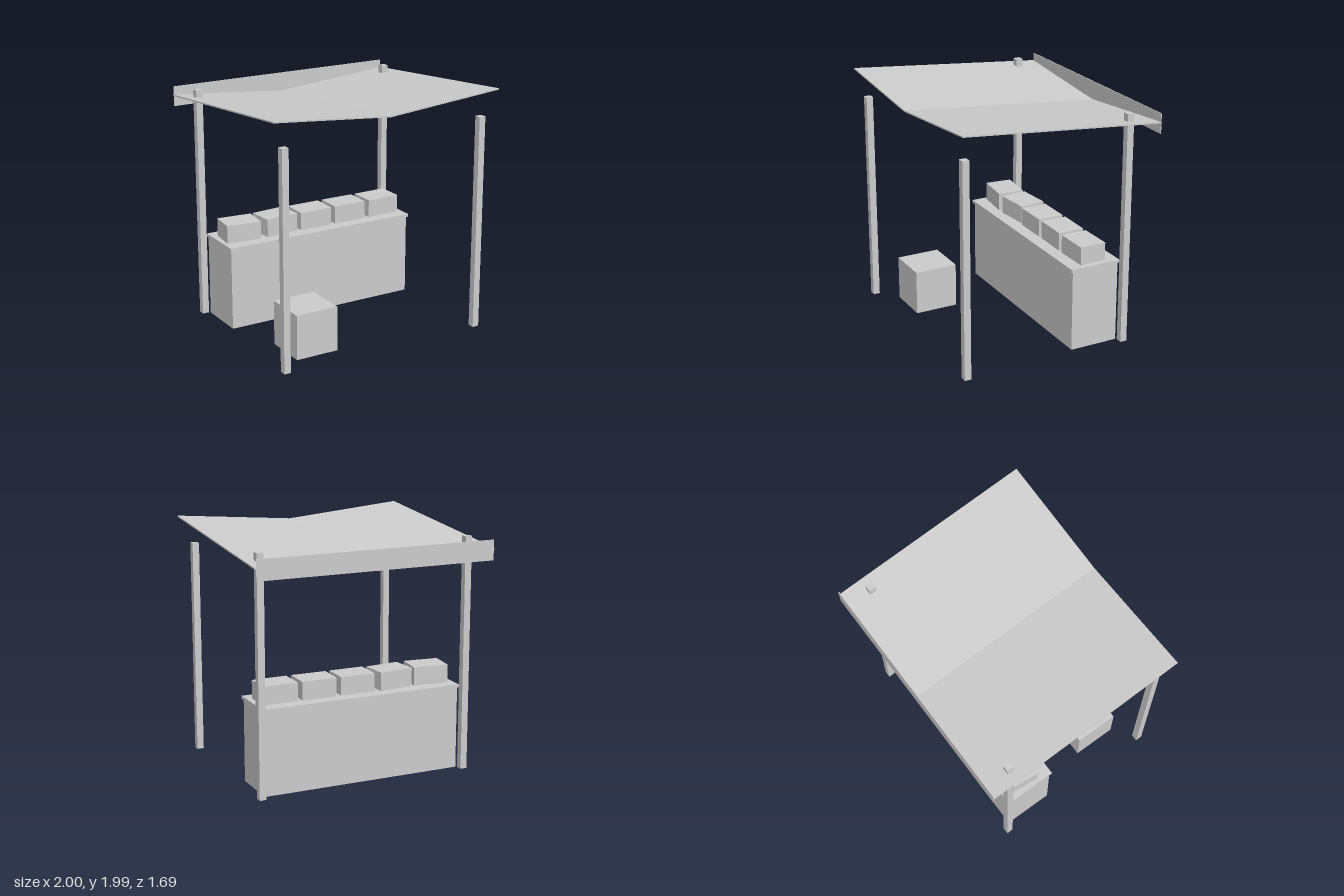
import * as THREE from 'three';

export function createModel() {
  const stall = new THREE.Group();
  stall.name = 'marketStall';
  const grey = new THREE.MeshStandardMaterial({ color: 0xcccccc });
  grey.name = 'plainGrey';

  const add = (name, geometry) => {
    const mesh = new THREE.Mesh(geometry, grey);
    mesh.name = name;
    stall.add(mesh);
    return mesh;
  };
  // Box whose base rests at height y
  const block = (name, w, h, d, x, y, z, turn = 0) => {
    const mesh = add(name, new THREE.BoxGeometry(w, h, d).translate(0, h / 2, 0));
    mesh.position.set(x, y, z);
    mesh.rotation.y = turn;
    return mesh;
  };

  // Four posts; the back pair pokes through the roof
  for (const [side, x] of [['left', 0.882], ['right', -0.882]]) {
    block(`${side}FrontPost`, 0.056, 1.77, 0.056, x, 0, 0.773);
    block(`${side}BackPost`, 0.056, 1.915, 0.056, x, 0, -0.624);
  }

  // Counter
  block('counterBody', 1.686, 0.675, 0.41, 0, 0, -0.383);
  block('counterTop', 1.708, 0.025, 0.436, 0, 0.675, -0.379);

  // Slightly turned crates in a row: [x, turn]
  [[-0.665, -0.1], [-0.331, 0.09], [0, 0], [0.33, -0.015], [0.662, 0.015]].forEach(([x, turn], i) =>
    block(`crate${i + 1}`, 0.292, 0.15, 0.222, x, 0.7, -0.378, turn));

  // Stool in front of the counter
  block('stool', 0.364, 0.37, 0.364, -0.518, 0, 0.444);

  // Shallow V roof sheet, rising towards the front
  const t = 0.011, dip = 0.088, depth = 1.685;
  const profile = new THREE.Shape([
    [-1, 0], [-1, -t], [0, -dip - t], [1, -t], [1, 0], [0, -dip],
  ].map(([x, y]) => new THREE.Vector2(x, y)));
  const roof = new THREE.ExtrudeGeometry(profile, { depth, bevelEnabled: false });
  const slope = 0.149 / depth;
  const p = roof.attributes.position;
  for (let i = 0; i < p.count; i++) {
    p.setXYZ(i, p.getX(i), p.getY(i) + 1.843 + slope * p.getZ(i), p.getZ(i) - depth / 2);
  }
  roof.computeVertexNormals();
  add('roofSheet', roof);

  // Board along the back edge of the roof
  block('backBoard', 1.985, 0.163, 0.006, 0, 1.746, -0.843);

  return stall;
}
